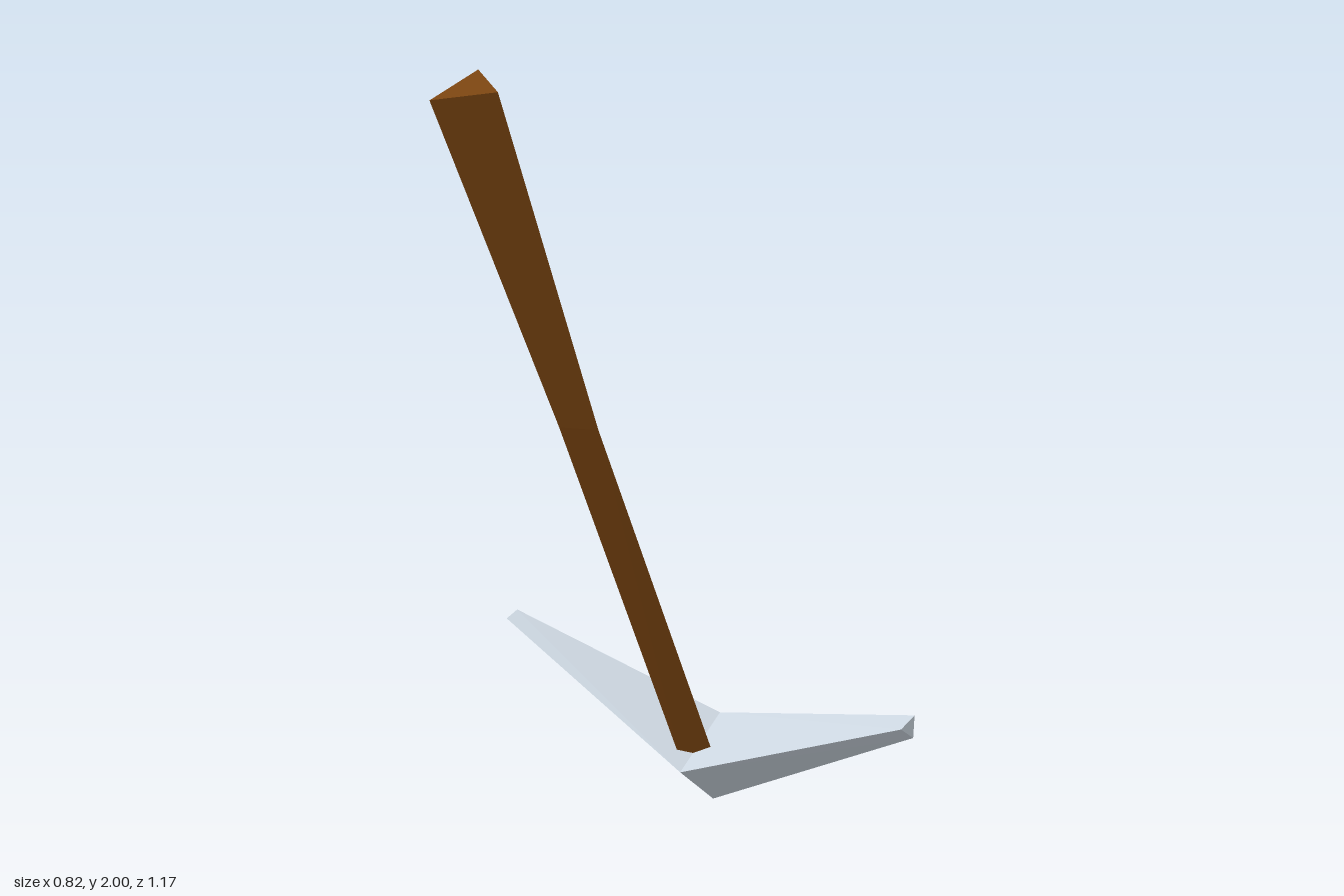
import * as THREE from 'three';

// Lofts a closed solid through equal-sized rings (counter-clockwise as seen from the far end).
function loft(rings) {
  const n = rings[0].length, pos = [];
  const tri = (a, b, c) => pos.push(...a, ...b, ...c);
  for (let r = 0; r < rings.length - 1; r++) {
    const a = rings[r], b = rings[r + 1];
    for (let i = 0; i < n; i++) {
      const j = (i + 1) % n;
      tri(a[i], a[j], b[j]);
      tri(a[i], b[j], b[i]);
    }
  }
  const first = rings[0], last = rings[rings.length - 1];
  for (let i = 1; i < n - 1; i++) {
    tri(first[0], first[i + 1], first[i]);
    tri(last[0], last[i], last[i + 1]);
  }
  const geometry = new THREE.BufferGeometry();
  geometry.setAttribute('position', new THREE.Float32BufferAttribute(pos, 3));
  geometry.computeVertexNormals();
  return geometry;
}

function part(name, color, rings) {
  const material = new THREE.MeshStandardMaterial({ color, flatShading: true });
  const mesh = new THREE.Mesh(loft(rings), material);
  mesh.name = name;
  return mesh;
}

export function createModel() {
  const group = new THREE.Group();
  group.name = 'pickaxe';

  // Bent three-sided handle, from the grip end down into the head
  group.add(part('handle', 0x7a4410, [
    [[-0.41, 1.965, -0.11], [-0.27, 2.0, -0.127], [-0.325, 1.99, 0.005]],
    [[-0.13, 1.18, -0.05], [-0.04, 1.18, -0.067], [-0.075, 1.18, 0.02]],
    [[0.245, 0.15, -0.035], [0.335, 0.18, -0.055], [0.297, 0.165, 0.035]],
  ]));

  // Three-sided head: rear tip, thick middle, front tip
  group.add(part('head', 0xccd6e0, [
    [[0.13, 0.375, -0.583], [0.16, 0.348, -0.585], [0.17, 0.385, -0.588]],
    [[0.193, 0.163, 0.018], [0.345, 0.0, -0.017], [0.4, 0.22, -0.055]],
    [[0.355, 0.485, 0.583], [0.398, 0.445, 0.585], [0.406, 0.5, 0.578]],
  ]));

  return group;
}
